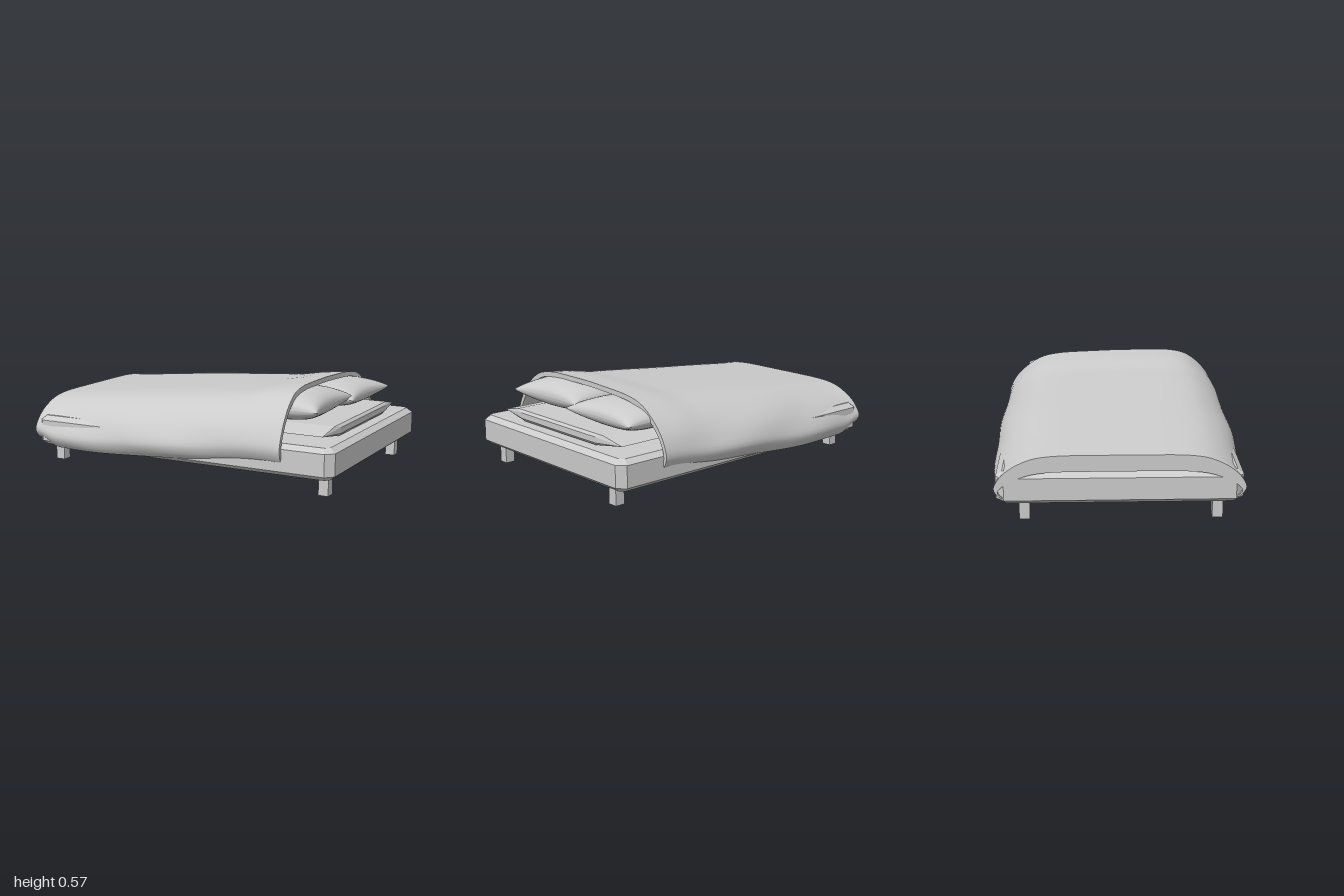
import * as THREE from 'three';
import { mergeGeometries, toCreasedNormals } from 'three/addons/utils/BufferGeometryUtils.js';
import { ConvexGeometry } from 'three/addons/geometries/ConvexGeometry.js';

const smooth = new THREE.MeshStandardMaterial({ color: 0xcccccc });
const flat = new THREE.MeshStandardMaterial({ color: 0xcccccc, flatShading: true });
const cloth = new THREE.MeshStandardMaterial({ color: 0xcccccc, side: THREE.DoubleSide });
const { lerp, smoothstep } = THREE.MathUtils;

function part(name, geometry, material) {
  const mesh = new THREE.Mesh(geometry, material);
  mesh.name = name;
  return mesh;
}

// Chamfered slab
function mattressGeometry() {
  const bevel = 0.035, c = 0.025, x = 1 - bevel, z = 0.69 - bevel;
  const shape = new THREE.Shape([
    [x - c, -z], [x, c - z], [x, z - c], [x - c, z],
    [c - x, z], [-x, z - c], [-x, c - z], [c - x, -z],
  ].map(([a, b]) => new THREE.Vector2(a, b)));
  return new THREE.ExtrudeGeometry(shape, {
    depth: 0.13, bevelEnabled: true, bevelSize: bevel, bevelThickness: 0.027, bevelSegments: 1,
  }).rotateX(-Math.PI / 2).translate(0, 0.137, 0);
}

// Plump cushion with pinched edges and drawn-out corners
function pillowGeometry(a, b, h) {
  const half = (side) => {
    const g = new THREE.PlaneGeometry(2, 2, 28, 28).rotateX(-side * Math.PI / 2);
    const p = g.attributes.position;
    for (let i = 0; i < p.count; i++) {
      const u = Math.sin(p.getX(i) * Math.PI / 2), v = Math.sin(p.getZ(i) * Math.PI / 2);
      const puff = Math.pow(Math.max(0, (1 - u * u) * (1 - v * v)), 0.42);
      p.setXYZ(i, a * u * (1 - 0.13 * (1 - v * v)), side * h * puff, b * v * (1 - 0.06 * (1 - u * u)));
    }
    g.computeVertexNormals();
    return g;
  };
  return mergeGeometries([half(1), half(-1)]);
}

// Thin wedge-ended cushion below the pillows
function flatCushionGeometry() {
  const points = [];
  for (const s of [-1, 1]) {
    for (const x of [0.45, 0.89]) points.push(new THREE.Vector3(x, 0.332, s * 0.57));
    for (const x of [0.45, 0.9]) {
      points.push(new THREE.Vector3(x, 0.365, s * 0.42), new THREE.Vector3(x, 0.298, s * 0.35));
    }
    for (const y of [0.315, 0.35]) points.push(new THREE.Vector3(0.915, y, s * 0.36));
  }
  return new ConvexGeometry(points);
}

// Draped cover: half profile as (share of half width, share of height)
const drape = new THREE.SplineCurve([
  [0, 1], [0.25, 1], [0.5, 0.99], [0.68, 0.93], [0.81, 0.79], [0.9, 0.63],
  [0.96, 0.46], [1, 0.25], [0.98, 0.1], [0.94, 0],
].map(([a, b]) => new THREE.Vector2(a, b)));

function coverGeometry() {
  const N = 28, M = 44, ring = [];
  for (let s = -N; s <= N; s++) ring.push([Math.sign(s), drape.getPoint(Math.abs(s) / N)]);
  const layer = (inner) => {
    const rows = [];
    for (let j = 0; j <= M; j++) {
      const t = j / M;
      rows.push(ring.map(([side, q]) => {
        const x = lerp(-1, 0.67 + 0.025 * q.x * q.x, t);
        const head = smoothstep(x, -0.4, 0.6);
        const tuck = smoothstep(x, -1, -0.85);
        const hem = lerp(0.15, 0.1, tuck) + 0.07 * smoothstep(x, -0.7, 0.65);
        let top = lerp(0.40, 0.535, (x + 1) / 1.5) + 0.018 * smoothstep(x, 0.3, 0.55);
        top = Math.min(top, 0.57);
        top += head * q.x * (side > 0 ? 0.008 : -0.03);
        let w = 0.70 + 0.028 * Math.sin(Math.PI * Math.min(1, t * 1.05)) + 0.012 * t;
        if (inner) {
          w -= 0.022;
          top -= lerp(0.095, 0.03, smoothstep(x, -1, -0.6));
        }
        const ripple = 0.005 * Math.sin(9 * x + 6 * q.y + side) * q.x * tuck;
        return new THREE.Vector3(x, lerp(hem, top, q.y), side * (w * q.x + ripple));
      }));
    }
    return rows;
  };
  const outer = layer(false), inner = layer(true), pos = [];
  const quad = (a, b, c, d) => [a, b, c, a, c, d].forEach((p) => pos.push(p.x, p.y, p.z));
  for (let j = 0; j < M; j++) {
    for (let i = 0; i < 2 * N; i++) {
      quad(outer[j][i], outer[j][i + 1], outer[j + 1][i + 1], outer[j + 1][i]);
      quad(inner[j][i], inner[j + 1][i], inner[j + 1][i + 1], inner[j][i + 1]);
    }
    // Side hems
    quad(outer[j][0], outer[j + 1][0], inner[j + 1][0], inner[j][0]);
    const e = 2 * N;
    quad(outer[j][e], inner[j][e], inner[j + 1][e], outer[j + 1][e]);
  }
  // Foot and head rims
  for (let i = 0; i < 2 * N; i++) {
    quad(outer[0][i], inner[0][i], inner[0][i + 1], outer[0][i + 1]);
    quad(outer[M][i], outer[M][i + 1], inner[M][i + 1], inner[M][i]);
  }
  const g = new THREE.BufferGeometry();
  g.setAttribute('position', new THREE.Float32BufferAttribute(pos, 3));
  return toCreasedNormals(g, 0.7);
}

export function createModel() {
  const bed = new THREE.Group();
  bed.name = 'bed';
  bed.add(part('mattress', mattressGeometry(), flat));

  for (const x of [-0.905, 0.905]) {
    for (const z of [-0.535, 0.55]) {
      const leg = part('leg', new THREE.BoxGeometry(0.06, 0.125, 0.06), flat);
      leg.position.set(x, 0.0625, z);
      bed.add(leg);
    }
  }

  bed.add(part('flatCushion', flatCushionGeometry(), flat));

  const pillows = [
    ['frontPillow', 0.61, 0.455, 0.255, 0.092, 0.04],
    ['backPillow', 0.63, 0.435, -0.295, 0.082, -0.02],
  ];
  for (const [name, x, y, z, h, yaw] of pillows) {
    const pillow = part(name, pillowGeometry(0.22, 0.295, h), smooth);
    pillow.position.set(x, y, z);
    pillow.rotation.y = yaw;
    bed.add(pillow);
  }

  bed.add(part('cover', coverGeometry(), cloth));
  return bed;
}
